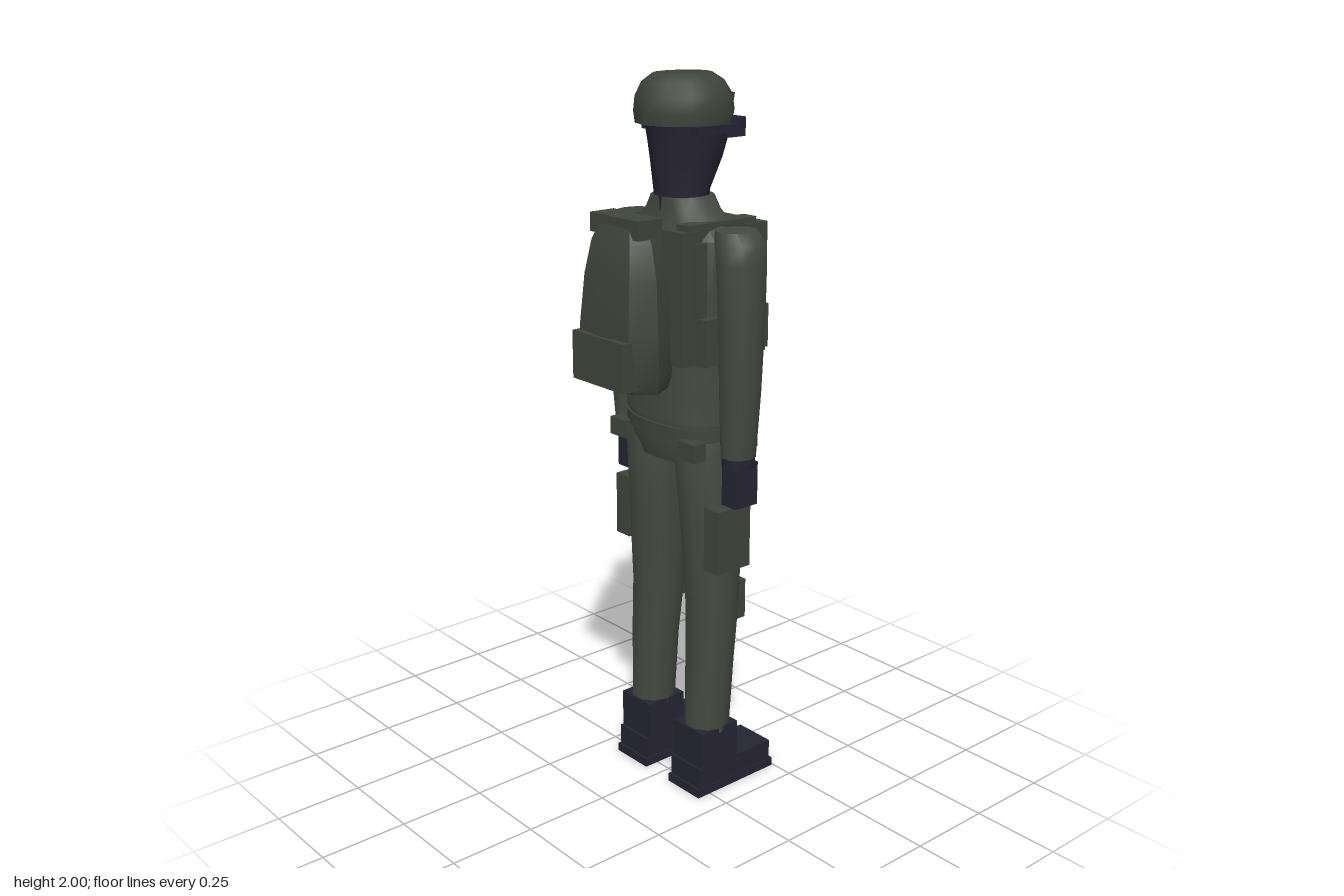
import * as THREE from 'three';
import { toCreasedNormals } from 'three/addons/utils/BufferGeometryUtils.js';

const mat = (name, color) => {
  const m = new THREE.MeshStandardMaterial({ color });
  m.name = name;
  return m;
};

// Unit cross-section with n sides; power below 1 makes it squarer
function section(n, power = 1) {
  const bend = (v) => Math.sign(v) * Math.abs(v) ** power;
  return Array.from({ length: n }, (_, i) => {
    const a = (i / n) * Math.PI * 2;
    return [bend(Math.cos(a)), bend(Math.sin(a))];
  });
}

// Closed loft through rings [y, centreX, centreZ, radiusX, radiusZ], listed bottom to top
function loft(rings, sec, crease = 0.8) {
  const n = sec.length, pos = [], idx = [];
  for (const [y, cx, cz, rx, rz] of rings)
    for (const [x, z] of sec) pos.push(cx + x * rx, y, cz + z * rz);
  for (let j = 0; j < rings.length - 1; j++)
    for (let i = 0; i < n; i++) {
      const a = j * n + i, b = j * n + (i + 1) % n;
      idx.push(a, a + n, b, b, a + n, b + n);
    }
  const top = (rings.length - 1) * n;
  for (let i = 1; i < n - 1; i++) {
    idx.push(0, i, i + 1);
    idx.push(top, top + i + 1, top + i);
  }
  const g = new THREE.BufferGeometry();
  g.setAttribute('position', new THREE.Float32BufferAttribute(pos, 3));
  g.setIndex(idx);
  return toCreasedNormals(g, crease);
}

export function createModel() {
  const model = new THREE.Group();
  model.name = 'soldier';
  const cloth = mat('olive cloth', 0x434a40);
  const gear = mat('olive gear', 0x3e453b);
  const dark = mat('dark navy', 0x252432);

  const add = (name, geo, material) => {
    const m = new THREE.Mesh(geo, material);
    m.name = name;
    model.add(m);
    return m;
  };
  // Box given by its limits on each axis
  const box = (name, material, [x0, x1], [y0, y1], [z0, z1]) => {
    const m = add(name, new THREE.BoxGeometry(Math.abs(x1 - x0), y1 - y0, z1 - z0), material);
    m.position.set((x0 + x1) / 2, (y0 + y1) / 2, (z0 + z1) / 2);
    return m;
  };
  const round = section(10), body = section(16, 0.8);

  // Head, helmet and goggles; the figure looks toward -z
  add('maskedHead', loft([
    [1.64, 0, -0.045, 0.075, 0.075],
    [1.7, 0, -0.045, 0.074, 0.076],
    [1.78, 0, -0.06, 0.088, 0.1],
    [1.83, 0, -0.065, 0.1, 0.11],
    [1.89, 0, -0.06, 0.108, 0.115],
  ], section(12)), dark);
  add('helmet', loft([
    [1.875, 0, -0.052, 0.122, 0.132],
    [1.905, 0, -0.052, 0.126, 0.137],
    [1.945, 0, -0.051, 0.121, 0.132],
    [1.98, 0, -0.048, 0.1, 0.112],
    [2, 0, -0.045, 0.066, 0.085],
  ], section(12)), gear);
  box('goggles', dark, [-0.086, 0.086], [1.835, 1.885], [-0.19, -0.13]);
  box('goggleStrap', dark, [-0.11, 0.11], [1.852, 1.872], [-0.15, 0.0]);
  box('helmetMount', gear, [-0.023, 0.023], [1.9, 1.945], [-0.205, -0.165]).rotation.x = -0.2;

  // Jacket and hips
  add('jacket', loft([
    [1.1, 0, -0.055, 0.18, 0.118],
    [1.28, 0, -0.055, 0.168, 0.115],
    [1.45, 0, -0.055, 0.178, 0.112],
    [1.59, 0, -0.053, 0.185, 0.1],
    [1.625, 0, -0.052, 0.145, 0.085],
    [1.655, 0, -0.05, 0.105, 0.08],
    [1.69, 0, -0.048, 0.078, 0.078],
  ], body), cloth);
  add('hips', loft([
    [0.98, 0, -0.055, 0.125, 0.1],
    [1.03, 0, -0.055, 0.165, 0.112],
    [1.1, 0, -0.055, 0.172, 0.112],
  ], body), cloth);
  add('belt', loft([
    [1.05, 0, -0.055, 0.177, 0.119],
    [1.085, 0, -0.055, 0.177, 0.119],
  ], body), gear);

  // Plate carrier with magazine pouches
  box('chestPlate', gear, [-0.156, 0.156], [1.27, 1.62], [-0.208, -0.13]);
  box('backPlate', gear, [-0.153, 0.153], [1.27, 1.62], [0.02, 0.085]);
  for (const x of [-0.095, 0, 0.095])
    box('magazinePouch', gear, [x - 0.038, x + 0.038], [1.27, 1.39], [-0.24, -0.2]);

  // Backpack
  const packSection = [[1, 0], [0.72, 0.85], [0, 1], [-0.72, 0.85], [-1, 0], [-0.75, -1], [0.75, -1]];
  add('backpack', loft([
    [1.205, 0, 0.145, 0.125, 0.06],
    [1.24, 0, 0.152, 0.14, 0.072],
    [1.36, 0, 0.155, 0.14, 0.078],
    [1.5, 0, 0.15, 0.128, 0.07],
    [1.59, 0, 0.148, 0.108, 0.056],
    [1.63, 0, 0.145, 0.085, 0.045],
  ], packSection, 0.5), gear);
  box('backpackLid', gear, [-0.098, 0.098], [1.605, 1.655], [0.106, 0.184]);
  box('backpackPocket', gear, [-0.105, 0.105], [1.22, 1.35], [0.17, 0.243]);

  // Mirrored parts
  for (const s of [-1, 1]) {
    const X = (a, b) => [s * a, s * b];

    add('sleeve', loft([
      [1.02, s * 0.222, -0.052, 0.046, 0.05],
      [1.2, s * 0.228, -0.05, 0.053, 0.06],
      [1.4, s * 0.227, -0.052, 0.058, 0.069],
      [1.54, s * 0.222, -0.054, 0.061, 0.073],
      [1.59, s * 0.216, -0.055, 0.064, 0.073],
      [1.62, s * 0.2, -0.055, 0.052, 0.06],
    ], round, 0.9), cloth);
    add('gloveCuff', loft([
      [0.99, s * 0.221, -0.053, 0.043, 0.047],
      [1.022, s * 0.222, -0.053, 0.044, 0.048],
    ], round), dark);
    box('glove', dark, X(0.192, 0.248), [0.88, 1.0], [-0.1, -0.022]);

    add('trouserLeg', loft([
      [0.18, s * 0.118, -0.042, 0.062, 0.066],
      [0.4, s * 0.118, -0.05, 0.068, 0.072],
      [0.56, s * 0.115, -0.06, 0.073, 0.08],
      [0.8, s * 0.109, -0.06, 0.08, 0.095],
      [1.0, s * 0.1, -0.057, 0.084, 0.107],
      [1.05, s * 0.1, -0.057, 0.075, 0.1],
    ], round), cloth);
    box('kneePad', gear, X(0.078, 0.153), [0.5, 0.615], [-0.152, -0.1]);
    box('thighPouch', gear, X(0.16, 0.216), [0.69, 0.87], [-0.106, 0.012]);

    // Boots
    box('bootShaft', dark, X(0.056, 0.178), [0.06, 0.195], [-0.105, 0.027]);
    box('bootFoot', dark, X(0.055, 0.178), [0.02, 0.085], [-0.235, 0.036]);
    box('bootSole', dark, X(0.051, 0.181), [0, 0.025], [-0.245, 0.044]);

    // Carrier straps, side pouches and belt pouches
    box('shoulderStrap', gear, X(0.1, 0.147), [1.585, 1.635], [-0.175, 0.06]);
    box('sideBand', gear, X(0.14, 0.19), [1.27, 1.395], [-0.13, 0.04]);
    box('sideStrap', gear, X(0.14, 0.163), [1.39, 1.59], [0.01, 0.05]);
    box('frontBeltPouch', gear, X(0.075, 0.165), [1.005, 1.06], [-0.178, -0.13]);
    box('backBeltPouch', gear, X(0.11, 0.175), [1.01, 1.06], [0.02, 0.064]);
  }
  return model;
}
